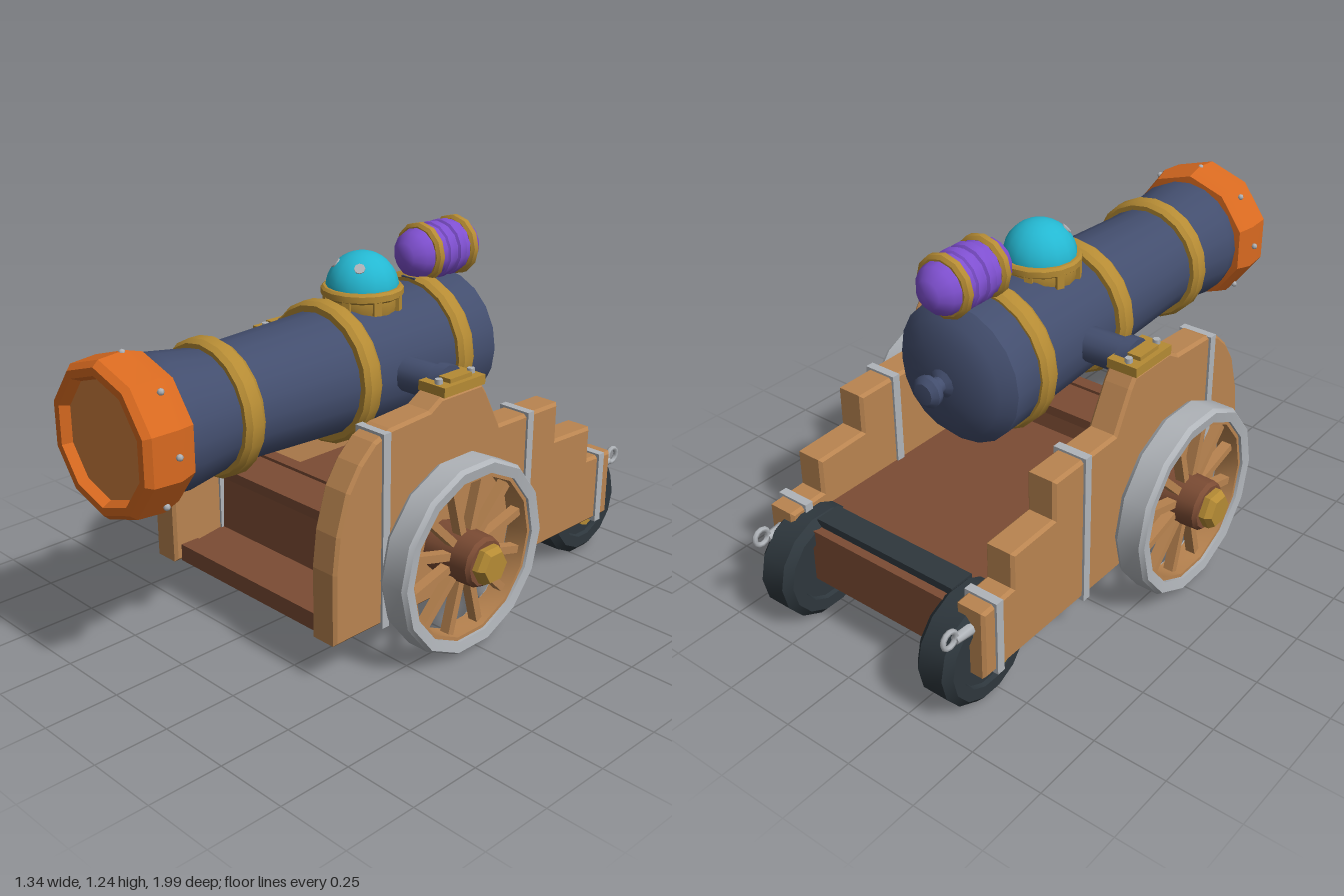
import * as THREE from 'three';
import { toCreasedNormals } from 'three/addons/utils/BufferGeometryUtils.js';

const mat = (name, color) => new THREE.MeshStandardMaterial({ name, color });
const M = {
  navy: mat('navy iron', 0x434e6e), orange: mat('orange muzzle', 0xd96a20), tan: mat('muzzle cover', 0xd0803f),
  wood: mat('light wood', 0xb98450), brown: mat('dark wood', 0x7c4c34), gold: mat('brass', 0xb58b34),
  silver: mat('steel', 0xb0b4b9), black: mat('charcoal', 0x2e373d), teal: mat('teal glass', 0x24b8d2),
  purple: mat('purple glass', 0x7f50d0),
};
const AXIS_Y = 0.83;

export function createModel() {
  const model = new THREE.Group();
  model.name = 'cannon';

  const add = (name, geo, material, x = 0, y = 0, z = 0, parent = model) => {
    const m = new THREE.Mesh(geo, material);
    m.name = name;
    m.position.set(x, y, z);
    parent.add(m);
    return m;
  };
  const box = (w, h, d) => new THREE.BoxGeometry(w, h, d);
  const lathe = (pts, seg, crease = 0.6) =>
    toCreasedNormals(new THREE.LatheGeometry(pts.map(p => new THREE.Vector2(...p)), seg), crease);
  // Turned shapes: points are [radius, distance along the axis]
  const alongZ = (pts, seg, crease) => lathe(pts, seg, crease).rotateX(Math.PI / 2);
  const alongX = (pts, seg, crease) => lathe(pts, seg, crease).rotateZ(-Math.PI / 2);
  // Side outline of [z, y] points, extruded along x and centred
  const slab = (pts, width, bevel) => {
    const s = new THREE.Shape(pts.map(p => new THREE.Vector2(...p)));
    const depth = width - 2 * bevel;
    const g = new THREE.ExtrudeGeometry(s, {
      depth, bevelEnabled: bevel > 0, bevelThickness: bevel, bevelSize: bevel, bevelOffset: -bevel, bevelSegments: 1,
    });
    return g.translate(0, 0, -depth / 2).rotateY(-Math.PI / 2);
  };
  const hoopProfile = (r, w, t) => [
    [r - t, -w], [r - 0.012, -w], [r, -w * 0.55], [r, w * 0.55], [r - 0.012, w], [r - t, w]];

  // Barrel with rounded breech and knob
  add('barrel', alongZ([
    [0, -0.525], [0.07, -0.522], [0.14, -0.51], [0.195, -0.485], [0.235, -0.445], [0.232, -0.36], [0.222, -0.2],
    [0.206, 0.12], [0.19, 0.5], [0.19, 0.62], [0.214, 0.78], [0.205, 0.84]], 20), M.navy, 0, AXIS_Y, 0);
  add('breechKnob', alongZ([
    [0, -0.61], [0.035, -0.607], [0.053, -0.59], [0.05, -0.57], [0.028, -0.56], [0.028, -0.535], [0.06, -0.515]], 12),
    M.navy, 0, AXIS_Y, 0);
  [[0.592, 0.218], [0.125, 0.237], [-0.297, 0.25]].forEach(([z, r]) =>
    add('barrelHoop', alongZ(hoopProfile(r, 0.037, 0.05), 20), M.gold, 0, AXIS_Y, z));

  // Muzzle ring, cover and rivets
  add('muzzleRing', alongZ([
    [0.18, 0.825], [0.232, 0.83], [0.25, 0.89], [0.243, 0.98], [0.225, 1.0], [0.2, 1.0], [0.183, 0.965]], 10, 0.45),
    M.orange, 0, AXIS_Y, 0);
  add('muzzleCover', new THREE.CircleGeometry(0.195, 10).rotateZ(Math.PI / 2), M.tan, 0, AXIS_Y, 0.97);
  for (let i = 0; i < 8; i++) {
    const a = i * Math.PI / 4;
    add('muzzleRivet', new THREE.SphereGeometry(0.011, 6, 4), M.silver,
      Math.sin(a) * 0.245, AXIS_Y + Math.cos(a) * 0.245, 0.9);
  }

  // Teal dome in a brass seat
  add('dome', new THREE.SphereGeometry(0.12, 16, 8, 0, Math.PI * 2, 0, Math.PI / 2), M.teal, 0, 1.078, -0.045);
  add('domeSeat', lathe([
    [0.115, 1.0], [0.124, 1.03], [0.124, 1.052], [0.136, 1.06], [0.136, 1.08], [0.128, 1.088], [0.115, 1.088]], 16),
    M.gold, 0, 0, -0.045);
  for (let i = 0; i < 8; i++) {
    const a = (i + 0.5) * Math.PI / 4;
    const leg = add('domeSeatLeg', box(0.025, 0.05, 0.02), M.gold,
      Math.sin(a) * 0.124, 1.04, -0.045 + Math.cos(a) * 0.124);
    leg.rotation.y = a;
  }
  for (const s of [-1, 1]) {
    const n = new THREE.Vector3(s * 0.055, 0.082, 0.066).normalize();
    const spot = add('domeSpot', new THREE.CylinderGeometry(0.018, 0.018, 0.006, 8), M.silver,
      n.x * 0.119, 1.078 + n.y * 0.119, -0.045 + n.z * 0.119);
    spot.quaternion.setFromUnitVectors(new THREE.Vector3(0, 1, 0), n);
  }

  // Purple capsule with hoops
  add('capsule', alongZ([
    [0, -0.173], [0.045, -0.162], [0.077, -0.13], [0.09, -0.09], [0.09, -0.05], [0.097, -0.045], [0.097, -0.015],
    [0.088, -0.01], [0.088, 0.0], [0.097, 0.005], [0.097, 0.035], [0.09, 0.04], [0.09, 0.09], [0.077, 0.13],
    [0.045, 0.162], [0, 0.173]], 14), M.purple, 0, 1.143, -0.403);
  for (const z of [-0.32, -0.49])
    add('capsuleHoop', alongZ(hoopProfile(0.103, 0.018, 0.025), 12), M.gold, 0, 1.143, z);
  add('capsuleFoot', box(0.06, 0.06, 0.2), M.navy, 0, 1.04, -0.36);

  // Carriage bed with raised front step
  add('carriageBed', slab([
    [0.44, 0.16], [0.44, 0.2], [0.3, 0.22], [0.29, 0.43], [0.08, 0.43], [0.07, 0.35], [-0.85, 0.35], [-0.85, 0.16]],
    0.68, 0), M.brown);
  add('frontBeam', box(0.68, 0.06, 0.07), M.brown, 0, 0.18, 0.445);
  for (const z of [0.275, 0.1]) add('crossBeam', box(0.68, 0.035, 0.05), M.brown, 0, 0.423, z);
  add('rearAxle', box(0.56, 0.08, 0.09), M.black, 0, 0.335, -0.775);

  const cheek = [
    [0.505, 0.15], [0.505, 0.39], [0.49, 0.51], [0.45, 0.64], [0.4, 0.715], [0.34, 0.77], [0.27, 0.795], [0.1, 0.805],
    [0.05, 0.835], [-0.14, 0.835], [-0.165, 0.8], [-0.235, 0.67], [-0.54, 0.665], [-0.54, 0.53], [-0.735, 0.522],
    [-0.735, 0.4], [-0.87, 0.392], [-0.87, 0.15]];
  const TIRE = [[0.28, -0.05], [0.315, -0.055], [0.325, -0.04], [0.325, 0.04], [0.315, 0.055], [0.28, 0.05], [0.28, -0.05]];
  const FELLOE = [[0.268, -0.04], [0.285, -0.04], [0.285, 0.04], [0.268, 0.04], [0.268, -0.04]];

  for (const s of [-1, 1]) {
    const side = new THREE.Group();
    side.name = s > 0 ? 'leftSide' : 'rightSide';
    model.add(side);
    const put = (name, geo, m, x, y, z) => add(name, geo, m, s * x, y, z, side);

    // Cheek board and its steel straps
    put('cheekBoard', slab(cheek, 0.105, 0.01), M.wood, 0.39, 0, 0);
    [[0.295, 0.79], [-0.385, 0.675], [-0.805, 0.403]].forEach(([z, top]) =>
      put('strap', box(0.121, top - 0.14, 0.03), M.silver, 0.39, (top + 0.14) / 2, z));

    // Trunnion and its brass clamp
    put('trunnion', alongX([[0, -0.1], [0.058, -0.1], [0.058, 0.1], [0, 0.1]], 12), M.navy, 0.28, AXIS_Y, -0.05);
    put('trunnionCollar', alongX([[0, -0.02], [0.072, -0.02], [0.072, 0.02], [0, 0.02]], 12), M.navy, 0.362, AXIS_Y, -0.05);
    put('clampPlate', box(0.11, 0.032, 0.19), M.gold, 0.393, 0.85, -0.05);
    put('clampCap', box(0.05, 0.02, 0.1), M.gold, 0.405, 0.87, -0.05);
    for (const z of [-0.125, 0.025])
      put('clampBolt', new THREE.CylinderGeometry(0.013, 0.013, 0.02, 6), M.silver, 0.405, 0.872, z);

    // Big spoked wheel
    const wheel = new THREE.Group();
    wheel.name = 'frontWheel';
    wheel.position.set(s * 0.535, 0.335, 0.035);
    side.add(wheel);
    add('tire', alongX(TIRE, 14, 0.5), M.silver, 0, 0, 0, wheel);
    add('felloe', alongX(FELLOE, 14, 0.5), M.wood, 0, 0, 0, wheel);
    for (let i = 0; i < 12; i++) {
      const spoke = add('spoke', box(0.035, 0.22, 0.026).translate(0, 0.17, 0), M.wood, 0, 0, 0, wheel);
      spoke.rotation.x = (i + 0.5) * Math.PI / 6;
    }
    add('hub', alongX([[0, -0.12], [0.085, -0.12], [0.088, 0], [0.085, 0.08], [0.075, 0.093], [0, 0.093]], 12),
      M.brown, 0, 0, 0, wheel);
    const cap = alongX([[0, 0], [0.066, 0], [0.066, 0.022], [0.052, 0.042], [0, 0.042]], 6, 0.3);
    if (s < 0) {
      wheel.children[wheel.children.length - 1].rotation.y = Math.PI;
      cap.rotateY(Math.PI);
    }
    add('hubCap', cap, M.gold, s * 0.092, 0, 0, wheel);

    // Small solid rear wheel with brass pin
    put('rearWheel', alongX([
      [0, -0.055], [0.12, -0.055], [0.125, -0.069], [0.165, -0.069], [0.19, -0.045], [0.19, 0.045], [0.165, 0.069],
      [0.125, 0.069], [0.12, 0.055], [0, 0.055]], 14, 0.5), M.black, 0.332, 0.19, -0.795);
    put('rearWheelPin', alongX([[0, -0.03], [0.045, -0.03], [0.045, 0.03], [0, 0.03]], 8), M.gold, 0.395, 0.168, -0.775);

    // Rope ring on the tail
    put('ringStem', new THREE.CylinderGeometry(0.015, 0.022, 0.07, 8).rotateX(-Math.PI / 2), M.silver, 0.39, 0.32, -0.9);
    const ring = put('ropeRing', new THREE.TorusGeometry(0.027, 0.009, 6, 12), M.silver, 0.39, 0.335, -0.957);
    ring.rotation.y = Math.PI / 2;
  }
  return model;
}
